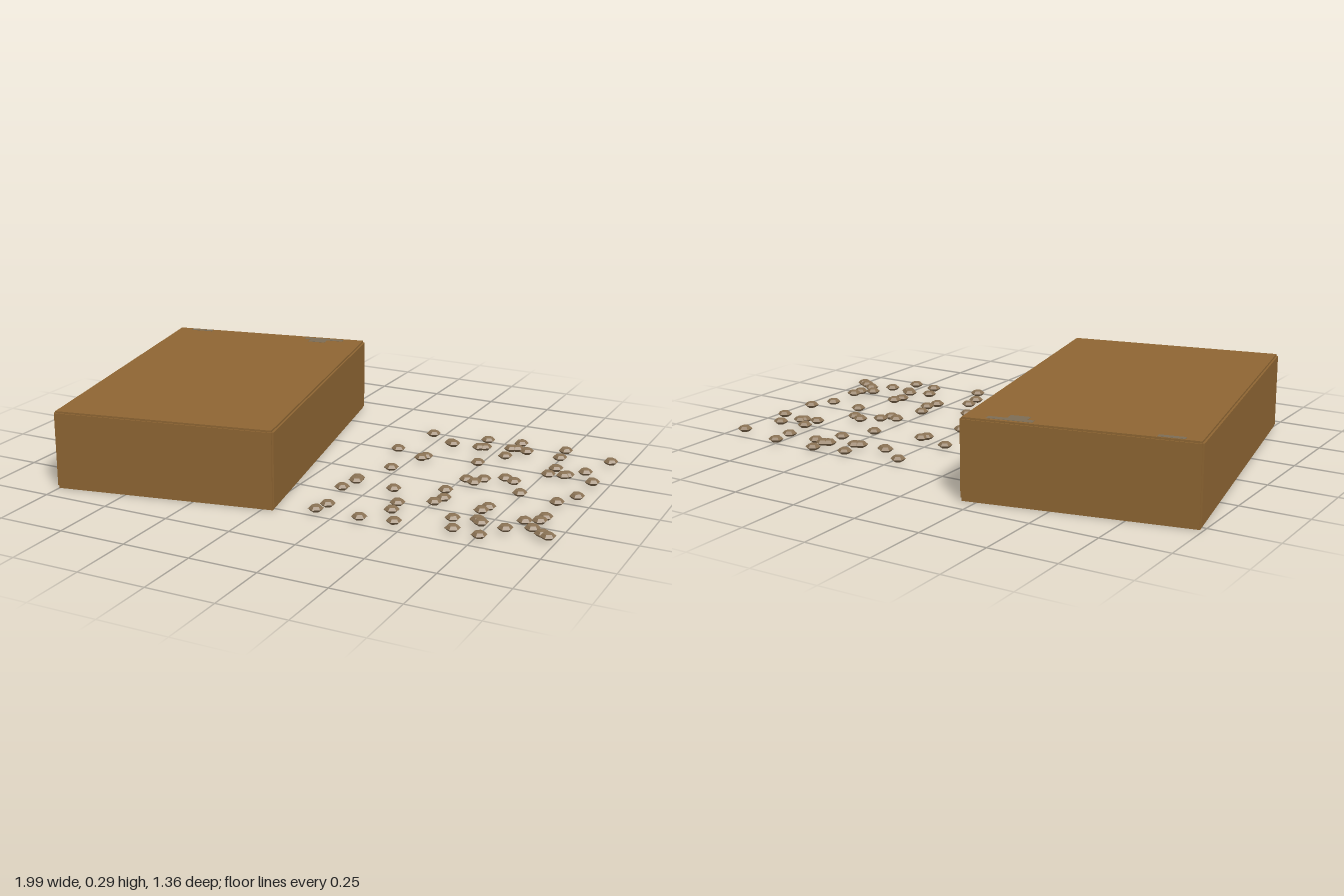
import * as THREE from 'three';

// Pebble positions, x and z in pairs
const SPOTS = [
  0.22, -0.455, 0.44, -0.48, 0.57, -0.5, 0.75, -0.495, 0.94, -0.45, 0.325, -0.385,
  0.335, -0.378, 0.44, -0.385, 0.46, -0.395, 0.555, -0.425, 0.575, -0.435, 0.62, -0.42,
  0.755, -0.41, 0.565, -0.335, 0.78, -0.29, 0.89, -0.3, 0.17, -0.23, 0.3, -0.195,
  0.29, -0.175, 0.5, -0.22, 0.775, -0.22, 0.83, -0.23, 0.84, -0.24, 0.945, -0.21,
  0.235, -0.025, 0.65, -0.11, 0.69, -0.09, 0.585, -0.065, 0.53, -0.035, 0.565, -0.02,
  0.94, -0.05, 0.75, 0.01, 0.895, 0.035, 0.505, 0.1, 0.175, 0.135, 0.18, 0.155,
  0.165, 0.24, 0.335, 0.17, 0.53, 0.175, 0.515, 0.225, 0.405, 0.29, 0.415, 0.36,
  0.195, 0.41, 0.18, 0.47, 0.345, 0.47, 0.465, 0.45, 0.7, 0.185, 0.69, 0.225,
  0.63, 0.335, 0.71, 0.31, 0.73, 0.33, 0.665, 0.42, 0.765, 0.435, 0.82, 0.34,
  0.855, 0.25, 0.905, 0.185, 0.9, 0.225, 0.9, 0.3, 0.945, 0.33, 0.97, 0.345,
];

function material(name, color) {
  const m = new THREE.MeshStandardMaterial({ color });
  m.name = name;
  return m;
}

export function createModel() {
  const model = new THREE.Group();
  const cardboard = material('cardboard brown', 0x8f6633);
  const stone = material('pebble brown', 0x8b7355);
  const grey = material('scuff grey', 0x7d6d55);

  // Closed carton made of six thin panels, turned slightly
  const carton = new THREE.Group();
  carton.name = 'carton';
  carton.position.set(-0.475, 0, -0.003);
  carton.rotation.y = 0.195;
  model.add(carton);
  const W = 0.814, D = 1.23, T = 0.01;
  const add = (name, w, h, d, x, y, z, mat = cardboard) => {
    const mesh = new THREE.Mesh(new THREE.BoxGeometry(w, h, d), mat);
    mesh.name = name;
    mesh.position.set(x, y, z);
    carton.add(mesh);
  };
  add('bottomPanel', W - 0.01, T, D - 0.008, 0, T / 2, 0);
  add('topPanel', W - 0.014, T, D - 0.008, 0, 0.284, 0);
  for (const s of [-1, 1]) {
    add(s > 0 ? 'leftWall' : 'rightWall', T, 0.272, D - 0.012, s * (W - T) / 2, 0.146, 0);
    add(s > 0 ? 'frontWall' : 'backWall', W - 0.012, 0.272, T, 0, 0.146, s * (D - T) / 2);
  }

  // Small scuffs at the back of the lid
  for (const [x, z, w, d] of [[-0.3, -0.595, 0.09, 0.022], [0.24, -0.585, 0.16, 0.025], [0.22, -0.555, 0.07, 0.035]])
    add('lidScuff', w, 0.001, d, x, 0.2893, z, grey);

  // Scattered six-sided pebbles
  const profile = [[0, 0.005], [0.017, 0.007], [0.028, 0.017], [0.018, 0.027], [0, 0.03]]
    .map(([r, y]) => new THREE.Vector2(r, y));
  const pebble = new THREE.LatheGeometry(profile, 6).toNonIndexed();
  pebble.computeVertexNormals();
  const pebbles = new THREE.Group();
  pebbles.name = 'pebbles';
  model.add(pebbles);
  for (let i = 0; i < SPOTS.length; i += 2) {
    const mesh = new THREE.Mesh(pebble, stone);
    mesh.name = 'pebble';
    mesh.position.set(SPOTS[i], 0, SPOTS[i + 1]);
    pebbles.add(mesh);
  }
  return model;
}
